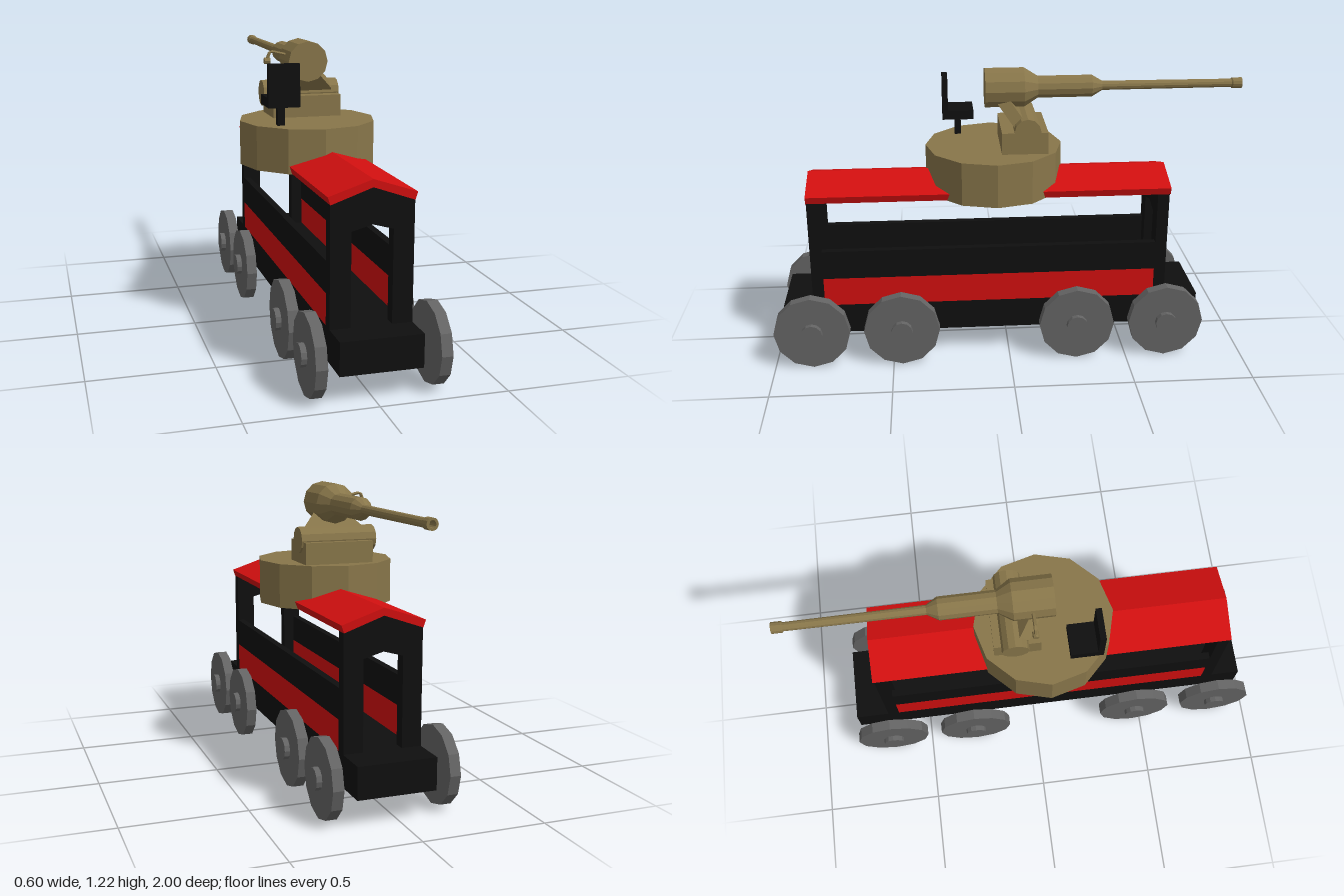
import * as THREE from 'three';

const flat = (name, color) => {
  const m = new THREE.MeshStandardMaterial({ color, flatShading: true });
  m.name = name;
  return m;
};

export function createModel() {
  const black = flat('black', 0x0f0f0f);
  const red = flat('red', 0xd10f0f);
  const khaki = flat('khaki', 0x88764a);
  const grey = flat('grey', 0x646464);

  const model = new THREE.Group();
  model.name = 'gunWagon';
  const CX = 0.02; // centre line of the wagon body

  const add = (name, geometry, material, parent = model) => {
    const mesh = new THREE.Mesh(geometry, material);
    mesh.name = name;
    parent.add(mesh);
    return mesh;
  };
  // Box given by its limits on each axis
  const box = (name, material, [x0, x1], [y0, y1], [z0, z1], parent) => {
    const mesh = add(name, new THREE.BoxGeometry(x1 - x0, y1 - y0, z1 - z0), material, parent);
    mesh.position.set((x0 + x1) / 2, (y0 + y1) / 2, (z0 + z1) / 2);
    return mesh;
  };
  // Cylinder lying along x
  const axle = (name, material, r, x0, x1, y, z, sides = 12, parent = model) => {
    const g = new THREE.CylinderGeometry(r, r, x1 - x0, sides).rotateZ(Math.PI / 2);
    const mesh = add(name, g, material, parent);
    mesh.position.set((x0 + x1) / 2, y, z);
    return mesh;
  };
  // Outline in x and y pushed along z
  const extrude = (points, z0, z1) =>
    new THREE.ExtrudeGeometry(new THREE.Shape(points.map(([x, y]) => new THREE.Vector2(x, y))),
      { depth: z1 - z0, bevelEnabled: false }).translate(0, 0, z0);

  // Chassis
  box('chassis', black, [-0.14, 0.18], [0.112, 0.242], [-0.82, 0.96]);

  // Wheels with outer hubs
  for (const z of [0.838, 0.46, -0.285, -0.668]) {
    for (const side of [1, -1]) {
      const wheel = new THREE.Group();
      wheel.name = side > 0 ? 'leftWheel' : 'rightWheel';
      wheel.position.set(CX + side * 0.235, 0.16, z);
      axle('wheelDisc', grey, 0.16, -0.022, 0.022, 0, 0, 12, wheel);
      axle('wheelHub', grey, 0.045, -0.022, 0.022, 0, 0, 12, wheel).position.x = side * 0.022;
      model.add(wheel);
    }
  }

  // Gabled end frames with a doorway open at the bottom
  const frame = [[-0.16, 0.242], [-0.08, 0.242], [-0.08, 0.605], [0, 0.627], [0.08, 0.605], [0.08, 0.242],
    [0.16, 0.242], [0.16, 0.71], [0, 0.764], [-0.16, 0.71]].map(([x, y]) => [x + CX, y]);
  add('frontEndFrame', extrude(frame, 0.785, 0.834), black);
  add('backEndFrame', extrude(frame, -0.676, -0.627), black);

  // Side walls: red lower panel, black upper rail
  for (const x of [[0.15, 0.18], [-0.14, -0.11]]) {
    box('lowerSidePanel', red, x, [0.242, 0.366], [-0.627, 0.785]);
    box('upperSideRail', black, x, [0.366, 0.49], [-0.627, 0.785]);
  }

  // Pitched roof
  const roof = [[-0.16, 0.708], [0, 0.764], [0.16, 0.708], [0.17, 0.738], [0, 0.794], [-0.17, 0.738]];
  add('roof', extrude(roof.map(([x, y]) => [x + CX, y]), -0.68, 0.836), red);

  // Turret drum
  const turret = add('turret', new THREE.CylinderGeometry(0.288, 0.288, 0.183, 12), khaki);
  turret.position.set(-0.01, 0.798, 0.052);

  // Gun mount: base block, cross cylinder and leaning cradle
  box('mountBase', khaki, [-0.147, 0.148], [0.885, 0.98], [-0.165, 0.026]);
  axle('mountCylinder', khaki, 0.055, -0.175, 0.155, 0.985, -0.08);
  const cradle = add('gunCradle', extrude([[-0.13, -0.03], [0.13, -0.03], [0.13, 0.03],
    [0.05, 0.13], [-0.05, 0.13], [-0.13, 0.03]], -0.025, 0.025), khaki);
  cradle.position.set(-0.01, 0.995, -0.06);
  cradle.rotation.x = 0.68;

  // Gun turned from one profile, with a hollow muzzle: [radius, distance forward]
  const profile = [[0, -0.088], [0.084, -0.088], [0.084, 0.075], [0.047, 0.133], [0.047, 0.36],
    [0.02, 0.405], [0.018, 0.955], [0.023, 0.96], [0.023, 1], [0.014, 1], [0.014, 0.95], [0, 0.95]];
  const gun = add('gun', new THREE.LatheGeometry(profile.map(([r, d]) => new THREE.Vector2(r, d)), 12), khaki);
  gun.rotation.x = -Math.PI / 2;
  gun.position.set(-0.013, 1.131, 0);

  // Bent firing handle with a grip
  const path = new THREE.CurvePath();
  const bends = [[-0.07, 1.15], [-0.155, 1.17], [-0.168, 1.135]].map(([x, y]) => new THREE.Vector3(x, y, 0));
  path.add(new THREE.LineCurve3(bends[0], bends[1]));
  path.add(new THREE.LineCurve3(bends[1], bends[2]));
  add('firingHandle', new THREE.TubeGeometry(path, 8, 0.007, 6), khaki);
  axle('handleGrip', khaki, 0.013, -0.18, -0.155, 1.13, 0, 8);

  // Gunner's seat
  box('seatPost', black, [-0.175, -0.145], [0.885, 0.98], [0.185, 0.212]);
  box('seat', black, [-0.225, -0.095], [0.97, 1.01], [0.132, 0.264]);
  box('seatBack', black, [-0.225, -0.095], [1.01, 1.145], [0.24, 0.264]);

  return model;
}
